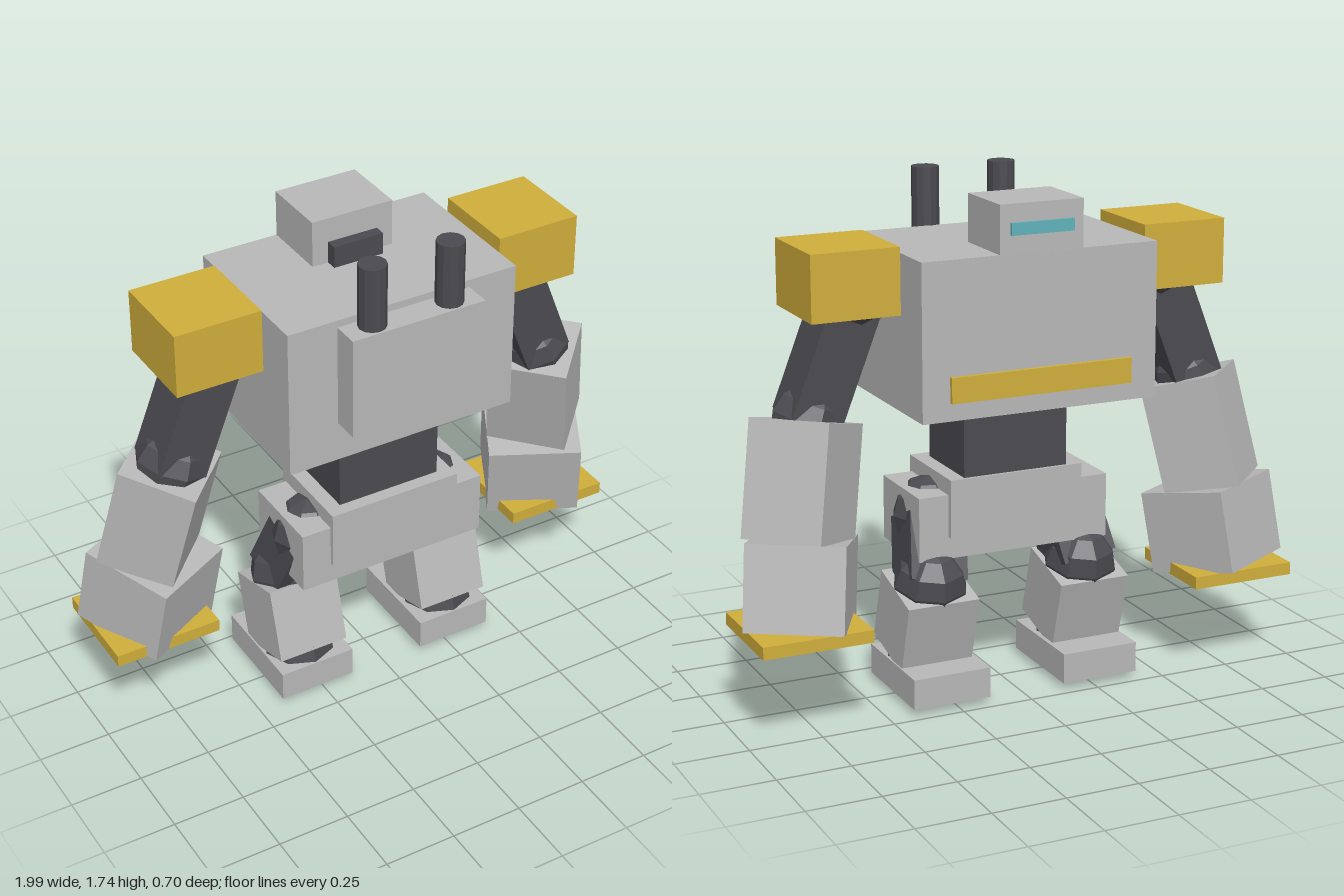
import * as THREE from 'three';

const paint = (name, color) => {
  const m = new THREE.MeshStandardMaterial({ color });
  m.name = name;
  return m;
};

const V = (x, y, z) => new THREE.Vector3(x, y, z);

// faceted normals for low-poly round parts
function faceted(geo) {
  const g = geo.toNonIndexed();
  g.computeVertexNormals();
  return g;
}

export function createModel() {
  const model = new THREE.Group();
  model.name = 'walkingRobot';
  const grey = paint('armourGrey', 0xb8b8b8);
  const dark = paint('jointDark', 0x4a4a50);
  const gold = paint('trimGold', 0xd0ae3c);
  const teal = paint('visorTeal', 0x5fb3ba);

  function add(name, geo, mat, parent = model) {
    const mesh = new THREE.Mesh(geo, mat);
    mesh.name = name;
    parent.add(mesh);
    return mesh;
  }

  // axis-aligned box from its limits
  function block(name, mat, [x0, x1], [y0, y1], [z0, z1], parent) {
    const mesh = add(name, new THREE.BoxGeometry(x1 - x0, y1 - y0, z1 - z0), mat, parent);
    mesh.position.set((x0 + x1) / 2, (y0 + y1) / 2, (z0 + z1) / 2);
    return mesh;
  }

  // box running from a to b, with its width turned towards the side vector
  function limb(name, mat, a, b, width, depth, side, parent) {
    const up = a.clone().sub(b);
    const length = up.length();
    up.normalize();
    const x = side.clone().addScaledVector(up, -side.dot(up)).normalize();
    const z = x.clone().cross(up);
    const mesh = add(name, new THREE.BoxGeometry(width, length, depth), mat, parent);
    mesh.quaternion.setFromRotationMatrix(new THREE.Matrix4().makeBasis(x, up, z));
    mesh.position.copy(a).add(b).multiplyScalar(0.5);
    return mesh;
  }

  function joint(name, at, r, parent) {
    const mesh = add(name, faceted(new THREE.SphereGeometry(r, 8, 6)), dark, parent);
    mesh.position.copy(at);
    return mesh;
  }

  // body
  block('torso', grey, [-0.415, 0.415], [1.02, 1.54], [-0.31, 0.25]);
  block('backpack', grey, [-0.24, 0.24], [1.16, 1.515], [0.2, 0.345]);
  block('chestStripe', gold, [-0.32, 0.32], [1.08, 1.165], [-0.325, -0.305]);
  block('upperWaist', dark, [-0.165, 0.165], [0.9, 1.04], [-0.11, 0.14]);
  block('lowerWaist', dark, [-0.187, 0.187], [0.7, 0.97], [-0.12, 0.165]);
  block('pelvis', grey, [-0.345, 0.345], [0.49, 0.71], [-0.11, 0.195]);
  block('hipPlate', grey, [-0.24, 0.24], [0.565, 0.765], [-0.13, 0.21]);

  // head
  block('head', grey, [-0.147, 0.147], [1.53, 1.7], [-0.309, -0.07]);
  block('visor', teal, [-0.11, 0.11], [1.6, 1.64], [-0.32, -0.3]);
  block('headVent', dark, [-0.09, 0.09], [1.54, 1.615], [-0.09, -0.03]);

  for (const s of [1, -1]) {
    const side = s > 0 ? 'left' : 'right';
    const P = (x, y, z) => V(s * x, y, z);
    const span = (a, b) => (s > 0 ? [a, b] : [-b, -a]);

    // exhaust pipe
    const pipe = add(side + 'Exhaust', faceted(new THREE.CylinderGeometry(0.047, 0.047, 0.27, 12)), dark);
    pipe.position.set(s * 0.14, 1.6, 0.291);

    // arm
    const arm = new THREE.Group();
    arm.name = side + 'Arm';
    model.add(arm);
    const shoulder = P(0.54, 1.41, -0.03);
    const elbow = P(0.7, 1.0, -0.03);
    const wrist = P(0.765, 0.625, -0.105);
    block('shoulderPad', gold, span(0.435, 0.735), [1.35, 1.57], [-0.19, 0.125], arm);
    joint('shoulderJoint', shoulder, 0.135, arm);
    limb('upperArm', dark, shoulder, elbow, 0.175, 0.18, P(1, 0, 0), arm);
    joint('elbowJoint', elbow, 0.122, arm).rotation.z = s * 0.38;
    limb('forearm', grey, elbow, wrist, 0.265, 0.28, P(0.185, 0.05, -0.18), arm);
    limb('hand', grey, P(0.746, 0.625, -0.09), P(0.776, 0.345, -0.135), 0.325, 0.325, P(0.15, 0.05, -0.28), arm);
    block('handPlate', gold, span(0.59, 0.965), [0.32, 0.363], [-0.31, 0.05], arm);

    // leg
    const leg = new THREE.Group();
    leg.name = side + 'Leg';
    model.add(leg);
    const hip = P(0.245, 0.61, 0.045);
    const knee = P(0.28, 0.395, -0.045);
    const ankle = P(0.28, 0.125, 0.03);
    joint('hipJoint', hip, 0.127, leg);
    limb('thigh', dark, hip, knee, 0.2, 0.18, P(1, 0, 0), leg);
    joint('kneeJoint', knee, 0.13, leg).rotation.x = -0.28;
    limb('shin', grey, P(0.28, 0.385, -0.045), P(0.28, 0.137, 0.025), 0.255, 0.245, P(1, 0, 0), leg);
    joint('ankleJoint', ankle, 0.125, leg);
    block('foot', grey, span(0.138, 0.413), [0.02, 0.125], [-0.215, 0.16], leg);
  }
  return model;
}
